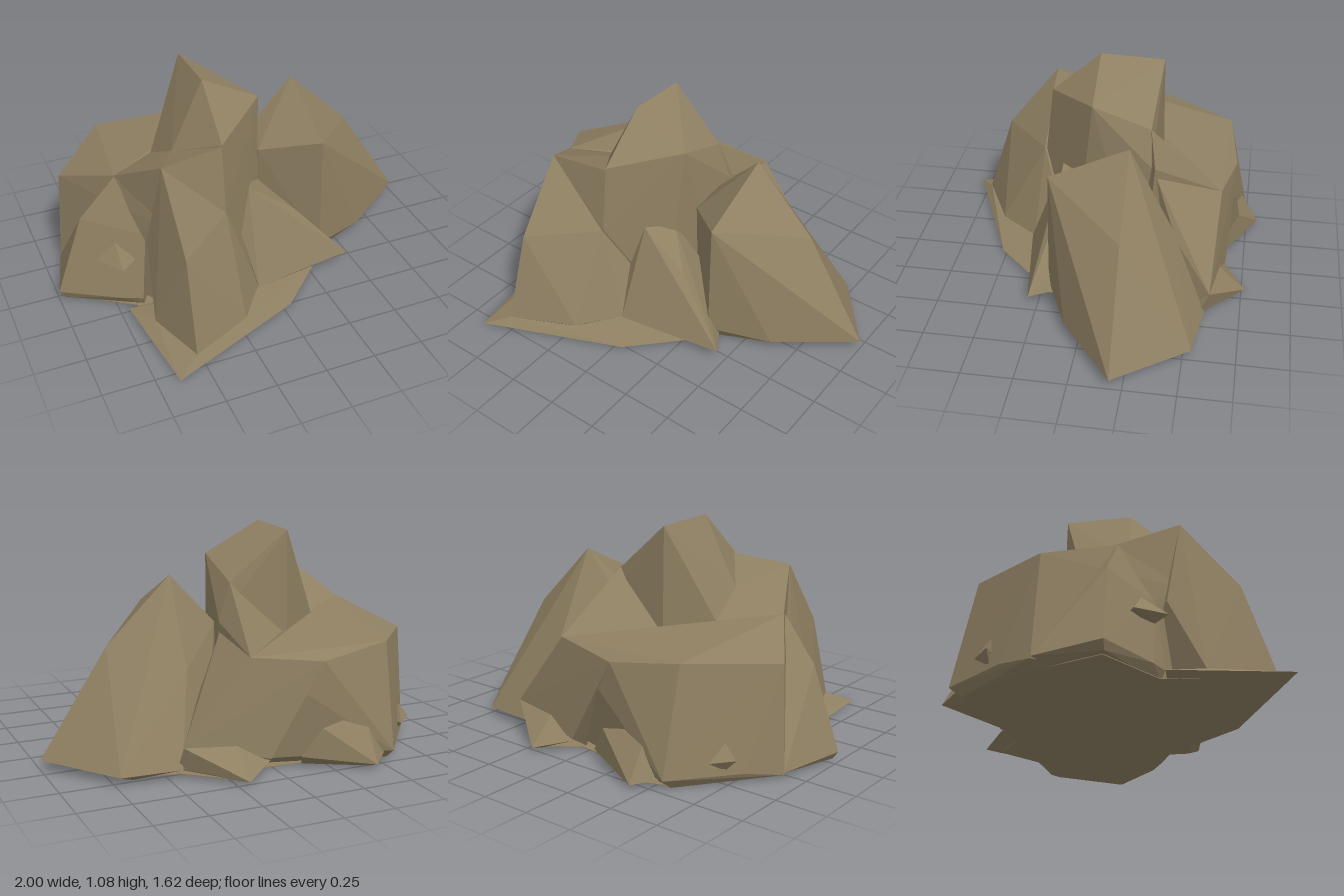
import * as THREE from 'three';
import { ConvexGeometry } from 'three/addons/geometries/ConvexGeometry.js';

// Each boulder is the faceted hull of a few corner points.
const ROCKS = {
  mainBoulder: [
    [.13, .55, -.62], [-.22, .51, -.68], [-.58, .56, -.63], [-.88, .53, -.27], [-.68, .66, .03],
    [-.43, .62, -.16], [-.57, .05, -.74], [-.8, .05, -.45], [-.91, .02, -.29], [.1, .04, -.55],
    [.05, .05, .1], [-.11, .3, .24], [-.57, 0, -.68], [-.85, 0, -.28], [.1, 0, -.5], [0, 0, .1],
    [-.5, 0, .3], [-.53, .5, .31],
  ],
  shoulder: [
    [-.53, .83, .31], [-.22, .85, .28], [-.39, .74, .05], [-.43, .62, -.16], [-.68, .66, .03],
    [-.22, .55, -.2], [-.11, .3, .24], [-.53, .2, .3], [-.22, .51, .32],
  ],
  peak: [
    [-.22, 1.08, .03], [-.22, 1.07, -.29], [.07, .93, .03], [.07, .83, -.26], [-.22, .86, .28],
    [-.43, .62, -.16], [-.39, .74, .05], [-.22, .5, -.3], [.13, .65, -.27], [.04, .3, .1],
    [.14, .1, -.2], [-.11, .3, .24], [-.22, .51, .32],
  ],
  // Crest running from the peak down to the back edge
  backCrest: [
    [.07, .83, -.26], [.14, .65, -.29], [-.22, .55, -.3], [.13, .55, -.62], [.14, .1, -.25],
    [.1, .1, -.55], [-.2, .3, -.3],
  ],
  frontButtress: [
    [-.53, .83, .31], [-.52, .49, .58], [-.53, .05, .72], [-.22, .51, .33], [-.11, .3, .25],
    [-.07, .05, .37], [-.22, .05, .57], [-.6, .4, .25], [-.63, .05, .42], [-.5, 0, .66],
    [-.1, 0, .34], [-.58, 0, .4], [-.4, .3, .1], [-.4, 0, .1],
  ],
  rightBoulder: [
    [.35, .875, -.19], [.67, .56, -.19], [.35, .69, .2], [.35, .46, -.4], [.12, .63, -.19],
    [.1, .58, -.03], [1, .05, -.19], [.73, .04, -.54], [.64, .05, .08], [.35, .08, .21],
    [.1, .1, -.05], [.3, .05, -.5], [.45, .05, -.58], [.6, 0, .04], [.65, 0, -.48],
    [.34, 0, .16], [.15, 0, -.3],
  ],
  leftBoulder: [
    [-1, .05, .03], [-.86, .45, .02], [-.68, .66, .04], [-.59, .4, .2], [-.63, .05, .24],
    [-.72, .05, .2], [-.91, .03, -.29], [-.97, .01, .03], [-.62, 0, .22], [-.85, 0, -.26],
    [-.5, .3, 0], [-.5, 0, 0],
  ],
  frontWedge: [
    [-.05, .53, .2], [.03, .5, .06], [.19, .35, .2], [.465, .05, .295], [-.07, .05, .38],
    [-.11, .3, .25], [.15, .3, 0], [.38, .05, .15], [.35, 0, .25], [-.05, 0, .33], [0, 0, .05],
  ],
  backWedge: [
    [.13, .55, -.62], [-.22, .51, -.68], [.45, .16, -.6], [.04, .07, -.66], [.1, .55, -.3],
    [.14, .6, -.3], [.3, .35, -.42], [.42, .05, -.52], [.3, 0, -.4], [.05, 0, -.55],
  ],
  backFootRight: [
    [.2, .02, -.77], [.04, .06, -.65], [.45, .16, -.6], [.46, .05, -.55], [.2, .18, -.6],
    [.2, 0, -.7], [.1, 0, -.4], [.4, 0, -.45],
  ],
  backFootLeft: [
    [-.44, .02, -.81], [-.44, .24, -.68], [-.2, .2, -.71], [-.11, .06, -.67], [-.57, .05, -.68],
    [-.4, 0, -.74], [-.15, 0, -.6], [-.5, 0, -.5],
  ],
  // Thin ledge spreading over the ground at the front
  frontLedge: [
    [-.645, .005, .805], [-.53, .05, .72], [-.22, .01, .6], [.04, .01, .52], [.27, .02, .3],
    [-.07, .05, .37], [-.63, .05, .42], [-.71, .02, .25], [-.22, 0, .56], [.02, 0, .46],
    [-.6, 0, .72], [-.65, 0, .25], [.2, 0, .25],
  ],
  // Small chips poking out of the left and back faces
  leftChip: [
    [-.73, .36, .15], [-.82, .27, .13], [-.645, .27, .2], [-.73, .27, .27], [-.73, .25, .2],
    [-.73, .28, .08],
  ],
  backChip: [
    [-.8, .13, -.51], [-.71, .12, -.59], [-.69, .13, -.49], [-.74, .2, -.51], [-.74, .07, -.51],
  ],
};

// Ground outline (x, z) that closes the underside between the boulders
const FOOTPRINT = [
  [.64, -.46], [.43, -.5], [.2, -.69], [.05, -.58], [-.16, -.6], [-.4, -.73], [-.56, -.67],
  [-.84, -.26], [-.95, .02], [-.66, .22], [-.6, .7], [-.22, .55], [.02, .45], [.2, .25],
  [.35, .24], [.35, .15], [.6, .03],
];

export function createModel() {
  const group = new THREE.Group();
  group.name = 'rockOutcrop';
  const stone = new THREE.MeshStandardMaterial({ color: 0x8f8062 });
  stone.name = 'stone';
  const add = (name, geometry) => {
    const mesh = new THREE.Mesh(geometry, stone);
    mesh.name = name;
    group.add(mesh);
  };

  for (const [name, points] of Object.entries(ROCKS)) {
    add(name, new ConvexGeometry(points.map((p) => new THREE.Vector3(...p))));
  }

  // Flat underside
  const outline = new THREE.Shape(FOOTPRINT.map(([x, z]) => new THREE.Vector2(x, -z)));
  const base = new THREE.ExtrudeGeometry(outline, { depth: .004, bevelEnabled: false });
  add('base', base.rotateX(-Math.PI / 2));
  return group;
}
